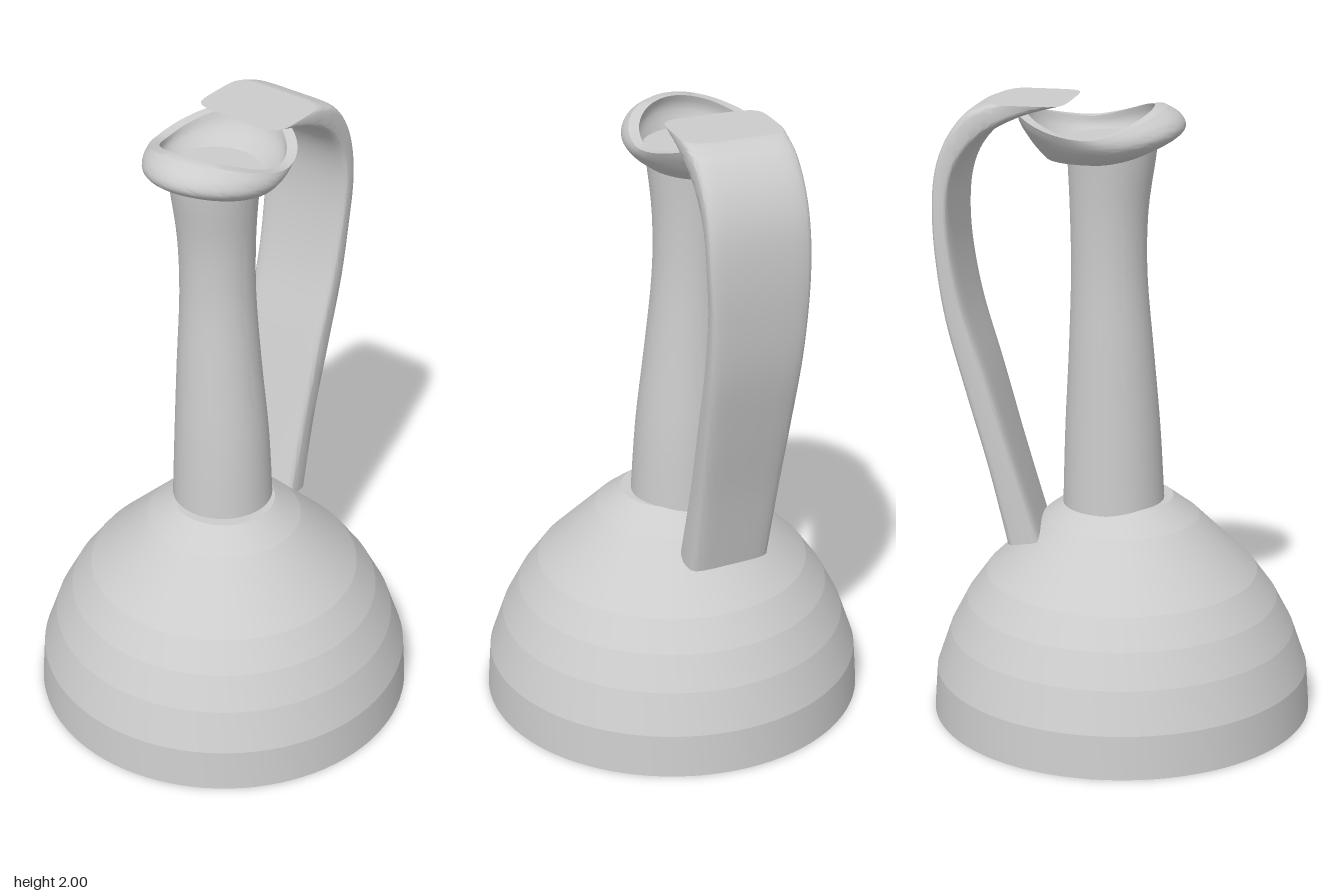
import * as THREE from 'three';
import { toCreasedNormals, mergeGeometries } from 'three/addons/utils/BufferGeometryUtils.js';

function surface(points, idx, crease) {
  const g = new THREE.BufferGeometry();
  g.setAttribute('position', new THREE.Float32BufferAttribute(points.flatMap(p => [p.x, p.y, p.z]), 3));
  g.setIndex(idx);
  return toCreasedNormals(g, crease);
}

// Flat end of a loft
function cap(points, flip) {
  const n = points.length, idx = [], c = new THREE.Vector3();
  points.forEach((p, j) => {
    c.addScaledVector(p, 1 / n);
    const k = (j + 1) % n;
    idx.push(n, flip ? k : j, flip ? j : k);
  });
  return surface([...points, c], idx, 0.6);
}

// Skin a stack of closed rings (each starts at +z and turns towards +x) and cap both ends
function loft(rings, crease) {
  const n = rings[0].length, idx = [];
  for (let i = 0; i < rings.length - 1; i++) {
    for (let j = 0; j < n; j++) {
      const a = i * n + j, b = i * n + (j + 1) % n;
      idx.push(a, b, a + n, b, b + n, a + n);
    }
  }
  return mergeGeometries([surface(rings.flat(), idx, crease),
    cap(rings[0], true), cap(rings[rings.length - 1], false)]);
}

const ring = (n, f) => Array.from({ length: n }, (_, j) => {
  const a = j / n * Math.PI * 2;
  return f(Math.sin(a), Math.cos(a));
});
const power = (v, e) => Math.sign(v) * Math.abs(v) ** e;

// Smooth curve through rows of numbers, sampled row by row
function smoothRows(rows, count) {
  return Array.from({ length: count + 1 }, (_, k) => {
    const t = k / count * (rows.length - 1);
    const i = Math.min(Math.floor(t), rows.length - 2), f = t - i;
    const at = m => rows[Math.max(0, Math.min(rows.length - 1, m))];
    return rows[0].map((_, c) => {
      const [p, q, r, s] = [at(i - 1)[c], at(i)[c], at(i + 1)[c], at(i + 2)[c]];
      return q + 0.5 * f * (r - p + f * (2 * p - 5 * q + 4 * r - s + f * (3 * (q - r) + s - p)));
    });
  });
}

export function createModel() {
  const model = new THREE.Group();
  model.name = 'jug';
  const clay = new THREE.MeshStandardMaterial({ color: 0xcccccc });
  clay.name = 'grey clay';
  const add = (name, geometry) => {
    const mesh = new THREE.Mesh(geometry, clay);
    mesh.name = name;
    model.add(mesh);
  };

  // Domed body with faceted bands
  const profile = [[0, 0], [0.612, 0], [0.602, 0.14], [0.557, 0.27], [0.502, 0.375],
    [0.437, 0.465], [0.25, 0.65], [0.165, 0.715], [0, 0.715]];
  const lathe = new THREE.LatheGeometry(profile.map(p => new THREE.Vector2(...p)), 96);
  add('body', toCreasedNormals(lathe, 0.1));

  // Slightly leaning neck, closed inside the lip: height, centre x, centre z, radius
  const neck = smoothRows([
    [0.70, -0.018, -0.025, 0.162], [0.95, -0.023, -0.028, 0.151],
    [1.20, -0.034, -0.032, 0.134], [1.45, -0.042, -0.038, 0.119],
    [1.65, -0.046, -0.038, 0.121], [1.82, -0.048, -0.030, 0.136],
    [1.883, -0.048, -0.030, 0.143],
  ], 24);
  add('neck', loft(neck.map(([y, cx, cz, r]) =>
    ring(64, (s, c) => new THREE.Vector3(cx + s * r, y, cz + c * r))), 0.6));

  // Pouring lip with a saddle-shaped rim:
  // half width, front z, back z, then heights at the front, sides and back
  const outside = smoothRows([
    [0.155, 0.100, -0.230, 1.853, 1.827, 1.825],
    [0.190, 0.170, -0.262, 1.890, 1.853, 1.860],
    [0.213, 0.197, -0.290, 1.922, 1.880, 1.900],
    [0.221, 0.180, -0.310, 1.958, 1.900, 1.935],
    [0.222, 0.135, -0.320, 1.985, 1.915, 1.970],
  ], 16);
  const inside = smoothRows([
    [0.190, 0.102, -0.288, 1.984, 1.914, 1.968],
    [0.185, 0.115, -0.270, 1.935, 1.885, 1.915],
    [0.150, 0.085, -0.215, 1.848, 1.846, 1.846],
  ], 8);
  add('pouringLip', loft([...outside, ...inside].map(([w, zf, zb, yf, ys, yb]) => {
    const mid = (zf + zb) / 2, half = (zf - zb) / 2;
    return ring(72, (s, c) => new THREE.Vector3(-0.052 + s * w,
      ys + ((c > 0 ? yf : yb) - ys) * Math.abs(c) ** (c > 0 ? 1.5 : 2), mid + c * half));
  }), 0.6));

  // Strap handle: inner z and y, outer z and y, width, turn, centre x
  const strap = smoothRows([
    [-0.242, 0.600, -0.354, 0.585, 0.275, 0.08, -0.010],
    [-0.322, 0.870, -0.410, 0.840, 0.28, 0.10, -0.005],
    [-0.393, 1.120, -0.474, 1.085, 0.29, 0.12, 0.005],
    [-0.460, 1.340, -0.530, 1.315, 0.30, 0.14, 0.015],
    [-0.495, 1.520, -0.555, 1.510, 0.31, 0.15, 0.020],
    [-0.503, 1.660, -0.560, 1.665, 0.32, 0.16, 0.025],
    [-0.487, 1.765, -0.548, 1.790, 0.32, 0.17, 0.025],
    [-0.445, 1.845, -0.512, 1.890, 0.32, 0.17, 0.020],
    [-0.375, 1.910, -0.455, 1.965, 0.32, 0.17, 0.010],
    [-0.265, 1.965, -0.400, 1.993, 0.32, 0.17, -0.005],
    [-0.145, 2.000, -0.378, 2.000, 0.32, 0.17, -0.020],
  ], 60);
  add('handle', loft(strap.map(([zi, yi, zo, yo, w, turn, cx]) => {
    const dz = (zi - zo) / 2, dy = (yi - yo) / 2;
    const sn = Math.sin(turn), cs = Math.cos(turn);
    return ring(48, (s, c) => {
      const u = power(s, 0.38) * w / 2, v = power(c, 0.38);
      return new THREE.Vector3(cx + u * cs - v * dz * sn,
        Math.min(2, (yi + yo) / 2 + v * dy),
        (zi + zo) / 2 + u * sn + v * dz * cs);
    });
  }), 0.6));

  return model;
}
